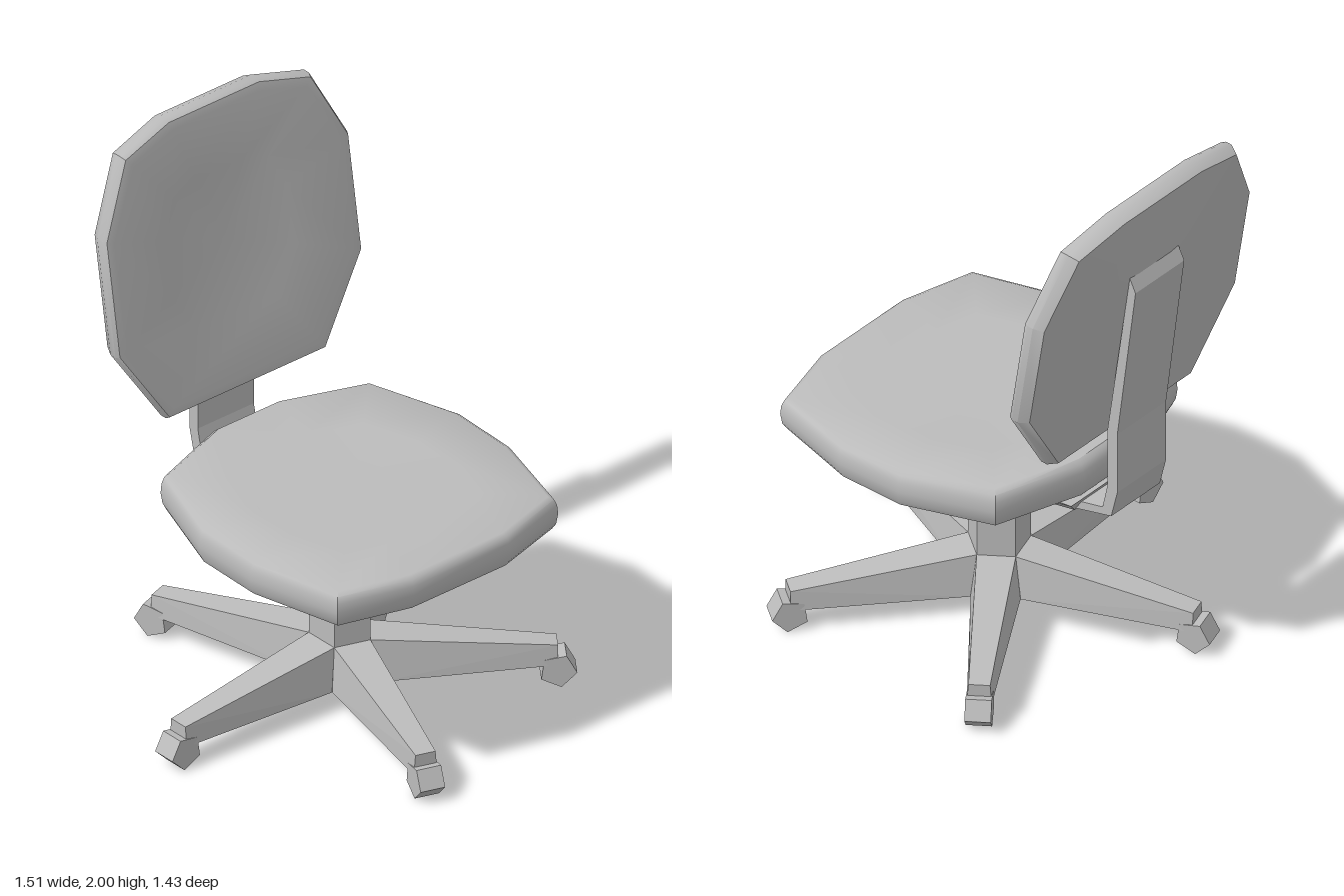
import * as THREE from 'three';
import { toCreasedNormals } from 'three/addons/utils/BufferGeometryUtils.js';
import { ConvexGeometry } from 'three/addons/geometries/ConvexGeometry.js';

const grey = new THREE.MeshStandardMaterial({ color: 0xbcbcbc });
grey.name = 'grey';

const V = (x, y, z) => new THREE.Vector3(x, y, z);

function part(name, geometry, parent) {
  const mesh = new THREE.Mesh(geometry, grey);
  mesh.name = name;
  parent.add(mesh);
  return mesh;
}

// Skin a stack of equal rings and close both ends with a fan to a centre point
function loft(rings, startCentre, endCentre, crease) {
  const n = rings[0].length;
  const points = [...rings.flat(), startCentre, endCentre];
  const start = points.length - 2, end = points.length - 1;
  const index = [];
  for (let j = 0; j < n; j++) {
    const k = (j + 1) % n;
    for (let i = 0; i < rings.length - 1; i++) {
      const a = i * n + j, b = i * n + k;
      index.push(a, a + n, b, b, a + n, b + n);
    }
    const last = (rings.length - 1) * n;
    index.push(j, k, start, last + j, end, last + k);
  }
  const geometry = new THREE.BufferGeometry().setFromPoints(points);
  geometry.setIndex(index);
  return toCreasedNormals(geometry, crease);
}

// Seat cushion: twelve-sided outline, flat underside, rounded rim, slight dish
function seatGeometry() {
  const cx = 0.07, cz = -0.06;
  const outline = [
    [-0.05, -0.635], [0.21, -0.635], [0.545, -0.545], [0.62, -0.27],
    [0.62, 0.15], [0.545, 0.42], [0.21, 0.51], [-0.05, 0.51],
    [-0.38, 0.395], [-0.488, 0.08], [-0.488, -0.2], [-0.38, -0.52],
  ];
  // scale, height, slope along x
  const levels = [
    [0.2, 0.64, 0], [0.97, 0.703, -0.025], [0.99, 0.725, -0.03],
    [1, 0.765, -0.03], [0.995, 0.8, -0.035], [0.98, 0.825, -0.04],
    [0.95, 0.837, -0.045], [0.6, 0.832, -0.03],
  ];
  const rings = levels.map(([s, y, slope]) => outline.map(([x, z]) => {
    const px = cx + (x - cx) * s;
    return V(px, y + slope * px, cz + (z - cz) * s);
  }));
  return loft(rings, V(cx, 0.64, cz), V(cx, 0.828, cz), 0.75);
}

// Backrest: leaning ten-sided pad whose sides wrap forward
function backrestGeometry() {
  const cz = -0.06, cy = 1.49;
  const outline = [
    [0.2, 2], [-0.2, 2], [-0.41, 1.945], [-0.535, 1.69], [-0.535, 1.27],
    [-0.345, 0.975], [0.345, 0.975], [0.535, 1.27], [0.535, 1.69], [0.41, 1.945],
  ];
  const lean = y => -0.57 - 0.16 * (y - 1);
  // scale, forward offset, extra offset towards the sides
  const levels = [
    [0.5, 0, 0.03], [0.965, 0, 0.035], [1, 0.04, 0.03], [1, 0.065, 0.03],
    [0.985, 0.08, 0.03], [0.93, 0.085, 0.03], [0.5, 0.073, 0.03],
  ];
  const rings = levels.map(([s, d, wrap]) => outline.map(([u, v]) => {
    const y = cy + (v - cy) * s;
    return V(lean(y) + d + wrap * Math.abs(u * s) / 0.5, y, cz + u * s);
  }));
  return loft(rings, V(lean(cy), cy, cz), V(lean(cy) + 0.066, cy, cz), 0.7);
}

// Bent bar carrying the backrest
function backBarGeometry() {
  const profile = [
    [-0.675, 1.7], [-0.7, 1.65], [-0.62, 1.03], [-0.62, 0.79], [-0.593, 0.68],
    [-0.43, 0.635], [-0.4, 0.66], [-0.555, 0.7], [-0.577, 0.8], [-0.577, 1.03],
  ];
  const shape = new THREE.Shape(profile.map(([x, y]) => new THREE.Vector2(x, y)));
  const geometry = new THREE.ExtrudeGeometry(shape, { depth: 0.245, bevelEnabled: false });
  geometry.translate(0, 0, -0.06 - 0.1225);
  return geometry;
}

// Flared bracket under the seat
function bracketGeometry() {
  const points = [];
  for (const side of [-1, 1]) {
    for (const [x, y, w] of [[-0.43, 0.625, 0.12], [-0.16, 0.565, 0.12],
      [-0.115, 0.655, 0.195], [-0.48, 0.705, 0.195]]) {
      points.push(V(x, y, -0.06 + side * w));
    }
  }
  return new ConvexGeometry(points);
}

// Tapered leg running out along +x from the hub
function legGeometry() {
  const points = [V(0, 0.23, 0), V(0, 0.075, 0)];
  for (const side of [-1, 1]) {
    points.push(
      V(0.089, 0.23, side * 0.065), V(0.115, 0.075, side * 0.083),
      V(0.715, 0.16, side * 0.036), V(0.715, 0.085, side * 0.042));
  }
  return new ConvexGeometry(points);
}

// Five-sided castor with its axle across the leg
function castorGeometry() {
  const points = [];
  for (let i = 0; i < 5; i++) {
    const a = (-80 + i * 72) * Math.PI / 180;
    for (const side of [-1, 1]) {
      points.push(V(0.715 + 0.064 * Math.cos(a), 0.063 + 0.063 * Math.sin(a), side * 0.044));
    }
  }
  return new ConvexGeometry(points);
}

export function createModel() {
  const chair = new THREE.Group();
  chair.name = 'officeChair';

  part('seat', seatGeometry(), chair);
  part('backrest', backrestGeometry(), chair);
  part('backBar', backBarGeometry(), chair);
  part('bracket', bracketGeometry(), chair);

  // Five-legged base
  const base = new THREE.Group();
  base.name = 'base';
  base.position.z = -0.07;
  chair.add(base);

  const columnShape = toCreasedNormals(new THREE.CylinderGeometry(0.11, 0.11, 0.46, 5), 0.5);
  const column = part('column', columnShape, base);
  column.position.y = 0.43;
  column.rotation.y = Math.PI;

  const leg = legGeometry();
  const castor = castorGeometry();
  for (let i = 0; i < 5; i++) {
    const arm = new THREE.Group();
    arm.name = 'arm';
    arm.rotation.y = -Math.PI / 2 + i * Math.PI * 2 / 5;
    part('leg', leg, arm);
    part('castor', castor, arm);
    base.add(arm);
  }
  return chair;
}
